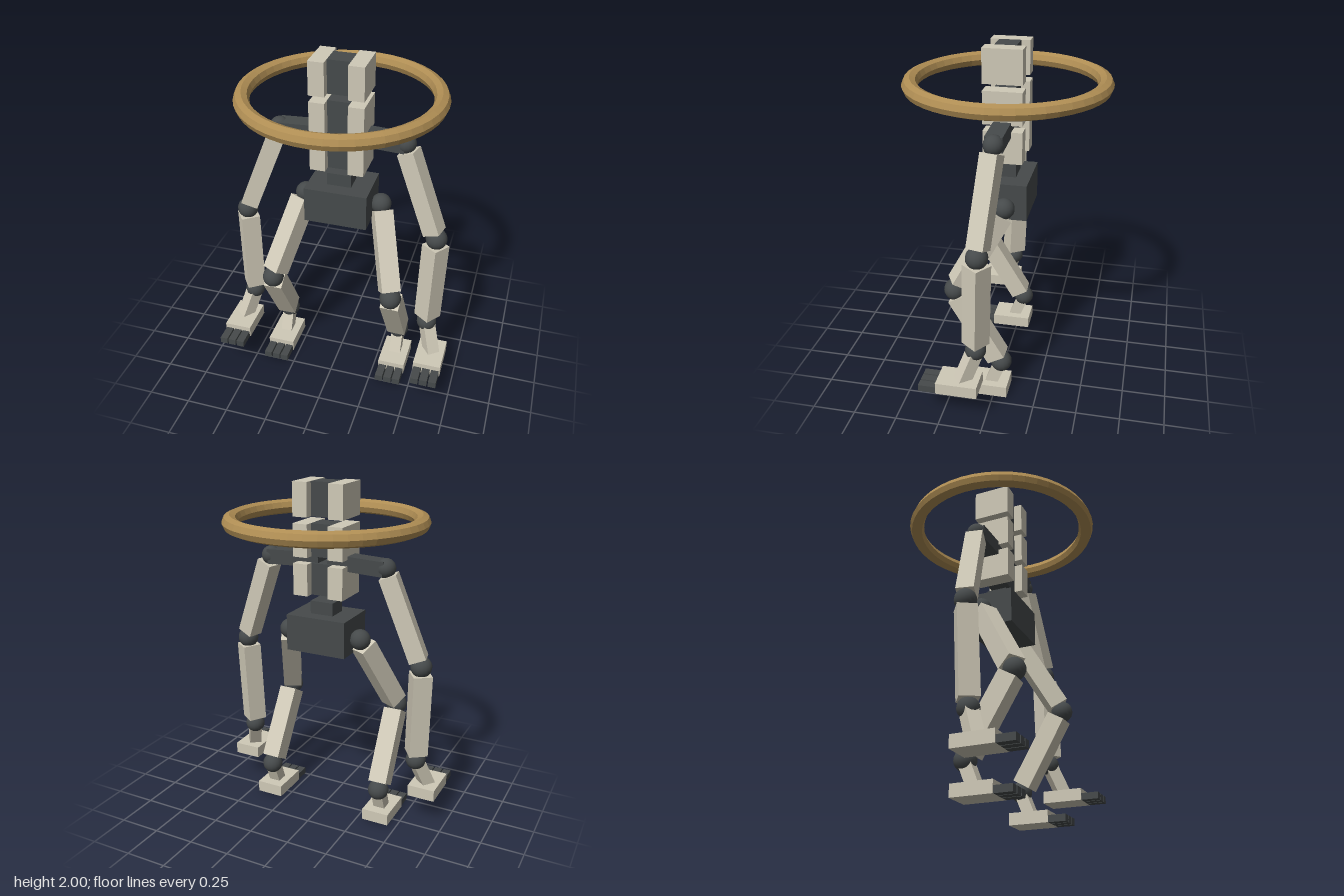
import * as THREE from 'three';

export function createModel() {
  const model = new THREE.Group();
  model.name = 'jointedFigure';

  const mat = (name, color, flatShading = false) => {
    const m = new THREE.MeshStandardMaterial({ color, flatShading });
    m.name = name;
    return m;
  };
  const bone = mat('paleBone', 0xcfc9b7);
  const dark = mat('darkMetal', 0x464a4b);
  const brass = mat('brass', 0xb08e54, true);

  const add = (name, geometry, material, x, y, z) => {
    const mesh = new THREE.Mesh(geometry, material);
    mesh.name = name;
    mesh.position.set(x, y, z);
    model.add(mesh);
    return mesh;
  };

  // Box given by its extents on each axis
  const block = (name, material, x0, x1, y0, y1, z0, z1) =>
    add(name, new THREE.BoxGeometry(x1 - x0, y1 - y0, z1 - z0), material,
      (x0 + x1) / 2, (y0 + y1) / 2, (z0 + z1) / 2);

  // Square bar centred between two joints, covering part of the distance
  const limb = (name, material, a, b, width, height = width, cover = 0.85) => {
    const from = new THREE.Vector3(...a), to = new THREE.Vector3(...b);
    const mid = from.clone().lerp(to, 0.5);
    const mesh = add(name, new THREE.BoxGeometry(width, height, from.distanceTo(to) * cover),
      material, mid.x, mid.y, mid.z);
    mesh.lookAt(to);
  };

  const joint = (name, p, r) => add(name, new THREE.SphereGeometry(r, 16, 12), dark, ...p);

  // Flat plate with three digits along its front edge
  const paw = (name, x, y, z) => {
    block(name, bone, x - 0.082, x + 0.082, y, y + 0.07, z - 0.118, z + 0.118);
    for (const i of [-1, 0, 1]) {
      const c = x + i * 0.054;
      block(name + 'Digit', dark, c - 0.023, c + 0.023, y, y + 0.04, z + 0.118, z + 0.22);
    }
  };

  // Ring around the top of the body
  const ring = add('ring', new THREE.TorusGeometry(0.531, 0.044, 8, 48), brass, 0, 1.785, 0);
  ring.rotation.x = Math.PI / 2;

  // Three vertebrae: dark core with a pale slab on each side
  for (const [y0, y1] of [[1.367, 1.55], [1.587, 1.773], [1.81, 2]]) {
    block('spineCore', dark, -0.064, 0.064, y0, y1, -0.06, 0.06);
    for (const s of [-1, 1]) {
      const x = s * 0.1085;
      block('spineSlab', bone, x - 0.0445, x + 0.0445, y0, y1, -0.11, 0.11);
    }
  }

  // Pelvis and waist
  block('pelvis', dark, -0.182, 0.182, 1.043, 1.255, -0.142, 0.142);
  block('waist', dark, -0.07, 0.07, 1.255, 1.33, -0.06, 0.06);

  for (const s of [-1, 1]) {
    const side = s > 0 ? 'left' : 'right';

    // Arm
    const shoulder = [s * 0.361, 1.553, 0.003];
    const elbow = [s * 0.572, 1.0, 0.05];
    const wrist = [s * 0.557, 0.403, 0.071];
    const hand = [s * 0.615, 0.205, 0.145];
    limb(side + 'Collar', dark, [s * 0.028, 1.568, 0], shoulder, 0.098, 0.085, 1);
    joint(side + 'Shoulder', shoulder, 0.056);
    limb(side + 'UpperArm', bone, shoulder, elbow, 0.1);
    joint(side + 'Elbow', elbow, 0.062);
    limb(side + 'Forearm', bone, elbow, wrist, 0.11);
    joint(side + 'Wrist', wrist, 0.06);
    limb(side + 'HandLink', bone, wrist, hand, 0.075);
    paw(side + 'Hand', s * 0.608, 0.165, 0.158);

    // Leg
    const hip = [s * 0.227, 1.13, -0.024];
    const knee = [s * 0.36, 0.66, 0.234];
    const ankle = [s * 0.367, 0.203, -0.035];
    const foot = [s * 0.367, 0.04, 0.03];
    joint(side + 'Hip', hip, 0.06);
    limb(side + 'Thigh', bone, hip, knee, 0.11);
    joint(side + 'Knee', knee, 0.063);
    limb(side + 'Shin', bone, knee, ankle, 0.11);
    joint(side + 'Ankle', ankle, 0.062);
    limb(side + 'FootLink', bone, ankle, foot, 0.07);
    paw(side + 'Foot', s * 0.367, 0, 0.037);
  }
  return model;
}
